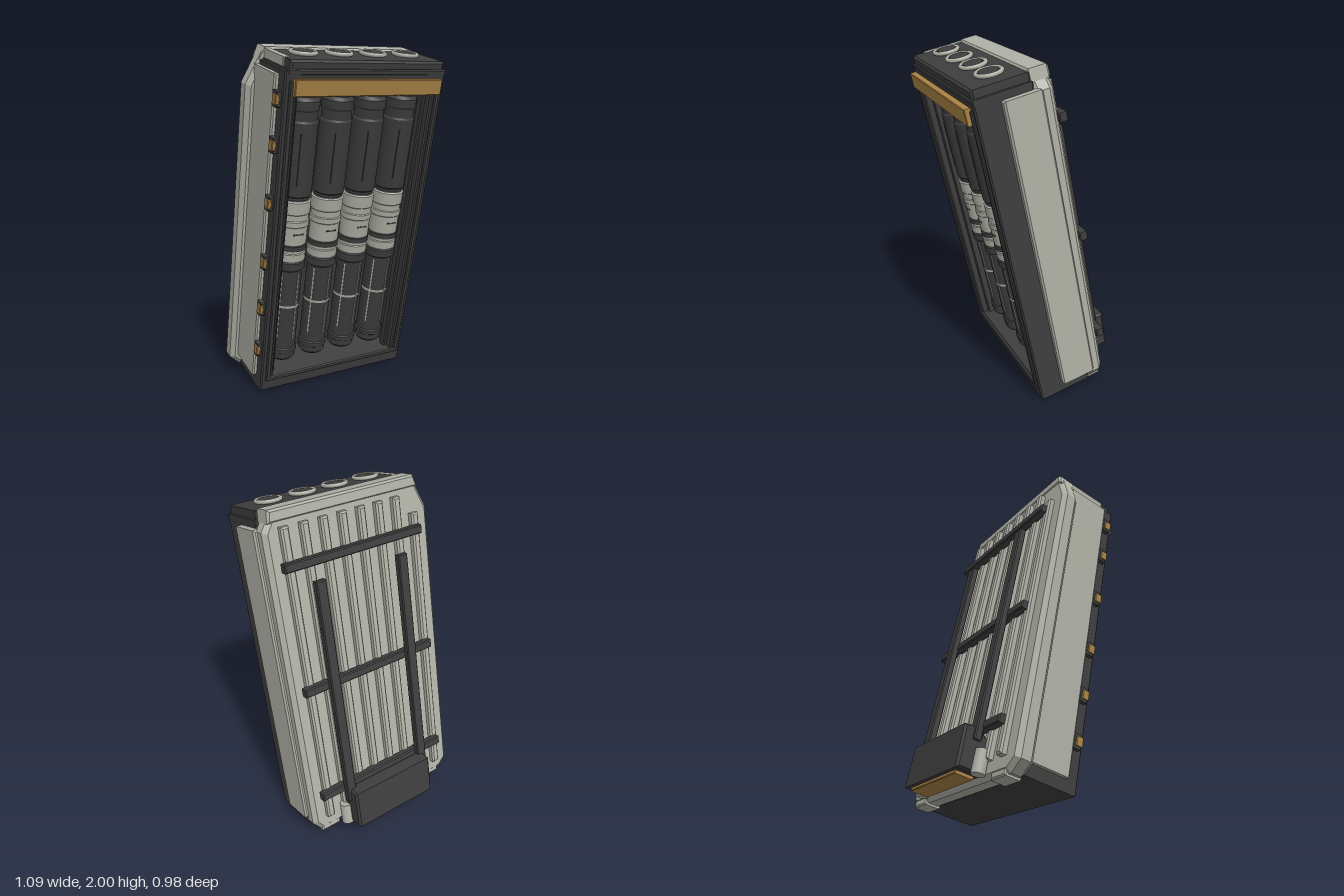
import * as THREE from 'three';

export function createModel() {
  const model = new THREE.Group();
  model.name = 'tubeRack';
  // Everything is built upright, then leaned forward
  const rack = new THREE.Group();
  rack.name = 'leaningRack';
  rack.rotation.x = THREE.MathUtils.degToRad(12);
  model.add(rack);

  const material = (name, color) => {
    const m = new THREE.MeshStandardMaterial({ color });
    m.name = name;
    return m;
  };
  const dark = material('charcoal', 0x3e3e3f);
  const grey = material('warmGrey', 0xb0b1a6);
  const amber = material('amber', 0xac8446);

  const add = (name, geometry, mat, parent = rack) => {
    const mesh = new THREE.Mesh(geometry, mat);
    mesh.name = name;
    parent.add(mesh);
    return mesh;
  };

  // Extrudes an outline from z0 to z1 with chamfered rims
  const slab = (name, mat, points, z0, z1, bevel = 0.01, hole = null) => {
    const shape = new THREE.Shape(points.map(p => new THREE.Vector2(...p)));
    if (hole) shape.holes.push(new THREE.Path(hole.map(p => new THREE.Vector2(...p))));
    const g = new THREE.ExtrudeGeometry(shape, {
      depth: z1 - z0 - 2 * bevel, bevelEnabled: bevel > 0, bevelSegments: 1,
      bevelSize: bevel, bevelThickness: bevel, bevelOffset: -bevel,
    });
    g.translate(0, 0, z0 + bevel);
    return add(name, g, mat);
  };
  const rect = (x0, x1, y0, y1) => [[x0, y0], [x1, y0], [x1, y1], [x0, y1]];
  const block = (name, mat, x0, x1, y0, y1, z0, z1, bevel = 0.006) =>
    slab(name, mat, rect(x0, x1, y0, y1), z0, z1, bevel);

  // Dark casing with an open bay
  slab('casing', dark, rect(-0.48, 0.505, 0.015, 1.9), -0.25, 0.07, 0.008,
    rect(-0.405, 0.43, 0.11, 1.84));
  block('bayBackWall', dark, -0.42, 0.445, 0.1, 1.85, -0.245, -0.19, 0);
  slab('bezel', dark, rect(-0.455, 0.48, 0.085, 1.86), 0.06, 0.083, 0.006,
    rect(-0.425, 0.45, 0.115, 1.83));
  for (const x of [-0.405, 0.405])
    block('bayInnerRail', dark, x, x + 0.025, 0.11, 1.84, -0.02, 0.03);
  block('amberBar', amber, -0.437, 0.465, 1.785, 1.872, 0.07, 0.108, 0.004);

  // Top cap
  block('capBase', dark, -0.465, 0.507, 1.885, 1.915, -0.25, 0.072);
  block('capTop', dark, -0.452, 0.492, 1.905, 1.96, -0.25, 0.065, 0.012);
  block('capSideTrim', grey, -0.46, -0.422, 1.9, 1.963, -0.25, -0.005, 0.004);

  // Tubes: stacked lathe sections of [radius, height] per colour
  const tubeParts = [
    ['tubeFoot', dark, [[0, 0.15], [0.07, 0.15], [0.082, 0.165], [0.082, 0.2], [0.088, 0.205],
      [0.088, 0.23], [0.08, 0.235], [0.08, 0.75], [0.092, 0.76], [0.092, 0.805], [0.083, 0.81]]],
    ['tubeLowerSleeve', grey, [[0.083, 0.81], [0.089, 0.815], [0.089, 0.86], [0.084, 0.865], [0.084, 0.88]]],
    ['tubeMiddleRing', dark, [[0.084, 0.88], [0.09, 0.882], [0.09, 0.91], [0.082, 0.912]]],
    ['tubeUpperSleeve', grey, [[0.082, 0.912], [0.087, 0.917], [0.087, 1.025], [0.092, 1.03], [0.092, 1.06],
      [0.087, 1.065], [0.087, 1.1], [0.092, 1.105], [0.092, 1.175], [0.085, 1.18]]],
    ['tubeBarrel', dark, [[0.085, 1.18], [0.077, 1.185], [0.077, 1.2], [0.09, 1.21], [0.09, 1.62],
      [0.084, 1.63], [0.084, 1.68], [0.09, 1.69], [0.09, 1.735], [0.074, 1.755], [0.074, 1.85]]],
  ];
  // Doubled points keep the steps crisp while the rounds stay smooth
  const sharpLathe = (points) => new THREE.LatheGeometry(points.flatMap(([r, y], i) =>
    i && i < points.length - 1
      ? [new THREE.Vector2(r, y), new THREE.Vector2(r, y + 1e-5)]
      : [new THREE.Vector2(r, y)]), 28);
  const tubeGeometries = tubeParts.map(p => sharpLathe(p[2]));
  const bandGeometry = new THREE.CylinderGeometry(0.0825, 0.0825, 0.014, 28, 1, true);
  for (let i = 0; i < 4; i++) {
    const tube = new THREE.Group();
    tube.name = 'tube';
    tube.position.set(-0.292 + i * 0.2083, 0, -0.07);
    rack.add(tube);
    tubeParts.forEach(([name, mat], k) => add(name, tubeGeometries[k], mat, tube));
    add('tubeBand', bandGeometry, grey, tube).position.y = 0.52;
    // Raised seams on the lower half, dark slots on the sleeve and barrel
    for (const a of [-0.9, 0.35]) {
      const seam = add('tubeSeam', new THREE.BoxGeometry(0.008, 0.44, 0.006), grey, tube);
      seam.position.set(Math.sin(a) * 0.0805, 0.52, Math.cos(a) * 0.0805);
      seam.rotation.y = a;
    }
    add('sleeveSlot', new THREE.BoxGeometry(0.06, 0.008, 0.008), dark, tube).position.set(0, 0.985, 0.083);
    add('barrelSlot', new THREE.BoxGeometry(0.012, 0.29, 0.008), dark, tube).position.set(-0.035, 1.42, 0.083);

    // Port in the cap above each tube
    const portX = -0.304 + i * 0.2133;
    const ring = add('portRing', new THREE.TorusGeometry(0.067, 0.012, 10, 36), grey);
    ring.rotation.x = Math.PI / 2;
    ring.position.set(portX, 1.972, -0.1);
    add('portPlug', new THREE.CylinderGeometry(0.054, 0.058, 0.025, 32), dark).position.set(portX, 1.968, -0.1);
  }

  // Back shell with clipped corners and a raised band along the top
  slab('backShell', grey, [[-0.48, 0], [0.47, 0], [0.52, 0.06], [0.52, 1.86], [0.485, 1.91], [0.48, 1.955],
    [-0.46, 1.955], [-0.545, 1.77], [-0.545, 0.06]], -0.348, -0.24, 0.025);
  slab('shellTopBand', grey, [[-0.48, 1.9], [0.49, 1.9], [0.48, 1.97], [-0.455, 1.97]],
    -0.355, -0.235, 0.012);
  for (const x of [-0.46, 0.34])
    block('shellFoot', grey, x, x + 0.13, -0.012, 0.07, -0.345, -0.245, 0.008);

  // Side panels
  slab('leftSidePanel', grey, rect(0.49, 0.54, 0.085, 1.872), -0.282, -0.07, 0.01);
  slab('rightSidePanel', grey, rect(-0.503, -0.47, 0.085, 1.88), -0.27, 0.0, 0.008);
  for (const y of [0.29, 0.56, 0.85, 1.2, 1.52, 1.76]) {
    block('studBase', dark, -0.506, -0.47, y - 0.042, y + 0.042, -0.01, 0.045, 0.004);
    block('studCap', amber, -0.513, -0.49, y - 0.026, y + 0.026, 0.005, 0.049, 0.004);
  }

  // Vertical ribs on the back; the outermost one starts lower
  for (let i = 0; i < 8; i++) {
    const x = -0.424 + i * 0.1193;
    block('backRib', grey, x - 0.024, x + 0.024, 0.09, i === 0 ? 1.76 : 1.875, -0.384, -0.33, 0.01);
  }

  // Carrying frame: cross rails and uprights
  for (const y of [0.269, 0.959, 1.672])
    block('crossRail', dark, -0.435, 0.468, y - 0.025, y + 0.025, -0.42, -0.37);
  for (const x of [-0.258, 0.288])
    block('upright', dark, x - 0.032, x + 0.032, 0.18, 1.57, -0.452, -0.41);

  // Lower box: side profile of [distance back, height], swept across
  const profile = new THREE.Shape([[0.505, 0.015], [0.508, 0.25], [0.43, 0.265], [0.36, 0.21], [0.36, 0.015]]
    .map(p => new THREE.Vector2(...p)));
  const boxGeometry = new THREE.ExtrudeGeometry(profile, {
    depth: 0.545, bevelSize: 0.012, bevelThickness: 0.012, bevelOffset: -0.012, bevelSegments: 1,
  });
  boxGeometry.rotateY(Math.PI / 2);
  boxGeometry.translate(-0.257, 0, 0);
  add('lowerBox', boxGeometry, dark);
  block('lowerBoxAmberPlate', amber, -0.225, 0.255, -0.002, 0.03, -0.485, -0.375, 0.004);
  for (const x of [-0.28, 0.31])
    add('sideRoller', new THREE.CylinderGeometry(0.037, 0.037, 0.13, 20), grey).position.set(x, 0.075, -0.388);

  return model;
}
